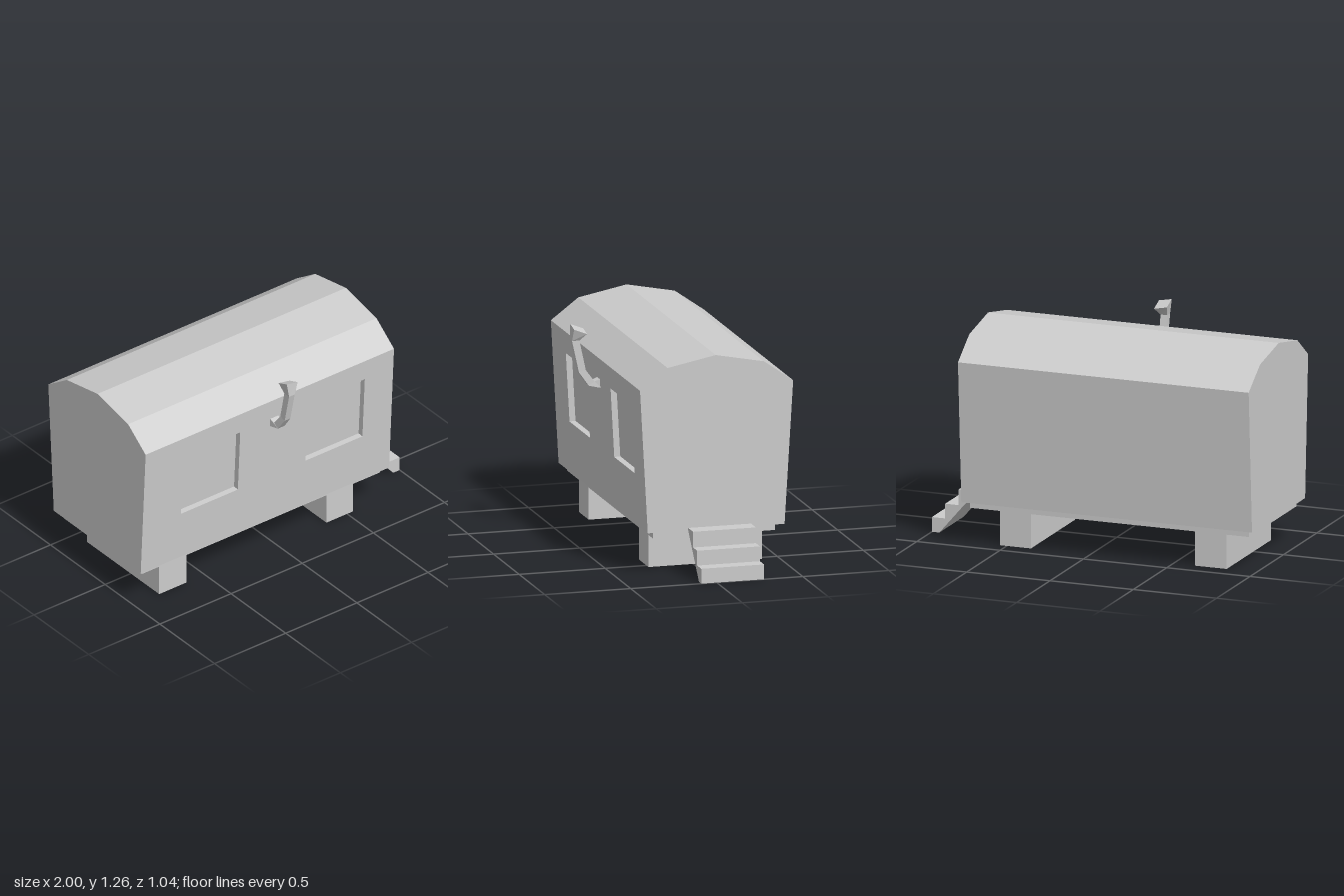
import * as THREE from 'three';

const material = new THREE.MeshStandardMaterial({ color: 0xcccccc, flatShading: true });

function add(parent, name, geometry) {
  const mesh = new THREE.Mesh(geometry, material);
  mesh.name = name;
  parent.add(mesh);
  return mesh;
}

// Box given by its extents on each axis
function block(parent, name, [x0, x1], [y0, y1], [z0, z1]) {
  const mesh = add(parent, name, new THREE.BoxGeometry(x1 - x0, y1 - y0, z1 - z0));
  mesh.position.set((x0 + x1) / 2, (y0 + y1) / 2, (z0 + z1) / 2);
}

const toShape = (pts) => new THREE.Shape(pts.map(([a, b]) => new THREE.Vector2(a, b)));
const rect = (a0, a1, b0, b1) => [[a0, b0], [a1, b0], [a1, b1], [a0, b1]];

function extrude(outline, depth, holes = []) {
  const shape = toShape(outline);
  shape.holes = holes.map(toShape);
  return new THREE.ExtrudeGeometry(shape, { depth, bevelEnabled: false });
}

// Extrude a (z, y) section along x
function alongX(section, x0, x1, holes = []) {
  const flip = (pts) => pts.map(([z, y]) => [-z, y]);
  return extrude(flip(section), x1 - x0, holes.map(flip)).rotateY(Math.PI / 2).translate(x0, 0, 0);
}

// Loft through four-cornered rings, with flat caps
function loft(rings) {
  const index = [];
  for (let k = 0; k < rings.length - 1; k++) {
    for (let i = 0; i < 4; i++) {
      const j = (i + 1) % 4, a = k * 4, b = a + 4;
      index.push(a + i, a + j, b + j, a + i, b + j, b + i);
    }
  }
  const t = (rings.length - 1) * 4;
  index.push(0, 2, 1, 0, 3, 2, t, t + 1, t + 2, t, t + 2, t + 3);
  const geometry = new THREE.BufferGeometry();
  geometry.setAttribute('position', new THREE.Float32BufferAttribute(rings.flat(2), 3));
  geometry.setIndex(index);
  const flat = geometry.toNonIndexed();
  flat.computeVertexNormals();
  return flat;
}

export function createModel() {
  const wagon = new THREE.Group();
  wagon.name = 'wagon';

  const left = -1, right = 0.745, floor = 0.245, eaves = 1.065;
  const windowDepth = 0.035, doorDepth = 0.025;

  // Body core: its front and right faces show as the window panes and door
  const roofAndBack = [[0.37, eaves], [0.21, 1.185], [-0.07, 1.24], [-0.35, 1.185], [-0.52, eaves], [-0.47, floor]];
  const recessed = [[0.325 - windowDepth, floor], [0.37 - windowDepth, eaves]];
  add(wagon, 'body', alongX([...recessed, ...roofAndBack], left, right - doorDepth));

  // Right end wall with the door opening
  add(wagon, 'endWall', alongX([[0.325, floor], ...roofAndBack], right - doorDepth, right,
    [rect(-0.275, 0.09, 0.26, 0.9)]));

  // Leaning front wall with two window openings
  const height = eaves - floor, lean = 0.045;
  const windows = [[-0.73, -0.33], [0.145, 0.545]].map(([a, b]) => rect(a, b, 0.545 - floor, 0.94 - floor));
  const frontWall = add(wagon, 'frontWall',
    extrude(rect(left, right, 0, Math.hypot(height, lean)), windowDepth, windows).translate(0, 0, -windowDepth));
  frontWall.rotation.x = Math.atan2(lean, height);
  frontWall.position.set(0, floor, 0.325);

  // Chassis and supports
  block(wagon, 'chassis', [-0.965, 0.71], [0.205, floor], [-0.425, 0.285]);
  block(wagon, 'leftSupport', [-0.82, -0.63], [0, 0.205], [-0.4, 0.26]);
  block(wagon, 'rightSupport', [0.355, 0.54], [0, 0.205], [-0.4, 0.26]);

  // Steps up to the door
  const steps = [[right, 0.26], [0.84, 0.26], [0.84, 0.17], [0.92, 0.17], [0.92, 0.085],
    [1, 0.085], [1, 0], [0.955, 0], [right, 0.245]];
  add(wagon, 'steps', extrude(steps, 0.365).translate(0, 0, -0.275));

  // Bent stovepipe: outer (z, y), inner (z, y), x range, drop of the +x side
  const pipe = [
    [0.355, 0.893, 0.355, 0.947, -0.12, -0.062, 0],
    [0.427, 0.91, 0.393, 0.932, -0.115, -0.067, 0],
    [0.483, 0.99, 0.443, 1.0, -0.11, -0.07, 0],
    [0.523, 1.172, 0.48, 1.172, -0.11, -0.07, 0],
    [0.518, 1.257, 0.443, 1.227, -0.122, -0.045, 0.015],
  ];
  add(wagon, 'stovepipe', loft(pipe.map(([oz, oy, iz, iy, x0, x1, drop]) =>
    [[x0, oy, oz], [x1, oy - drop, oz], [x1, iy - drop, iz], [x0, iy, iz]])));

  return wagon;
}
